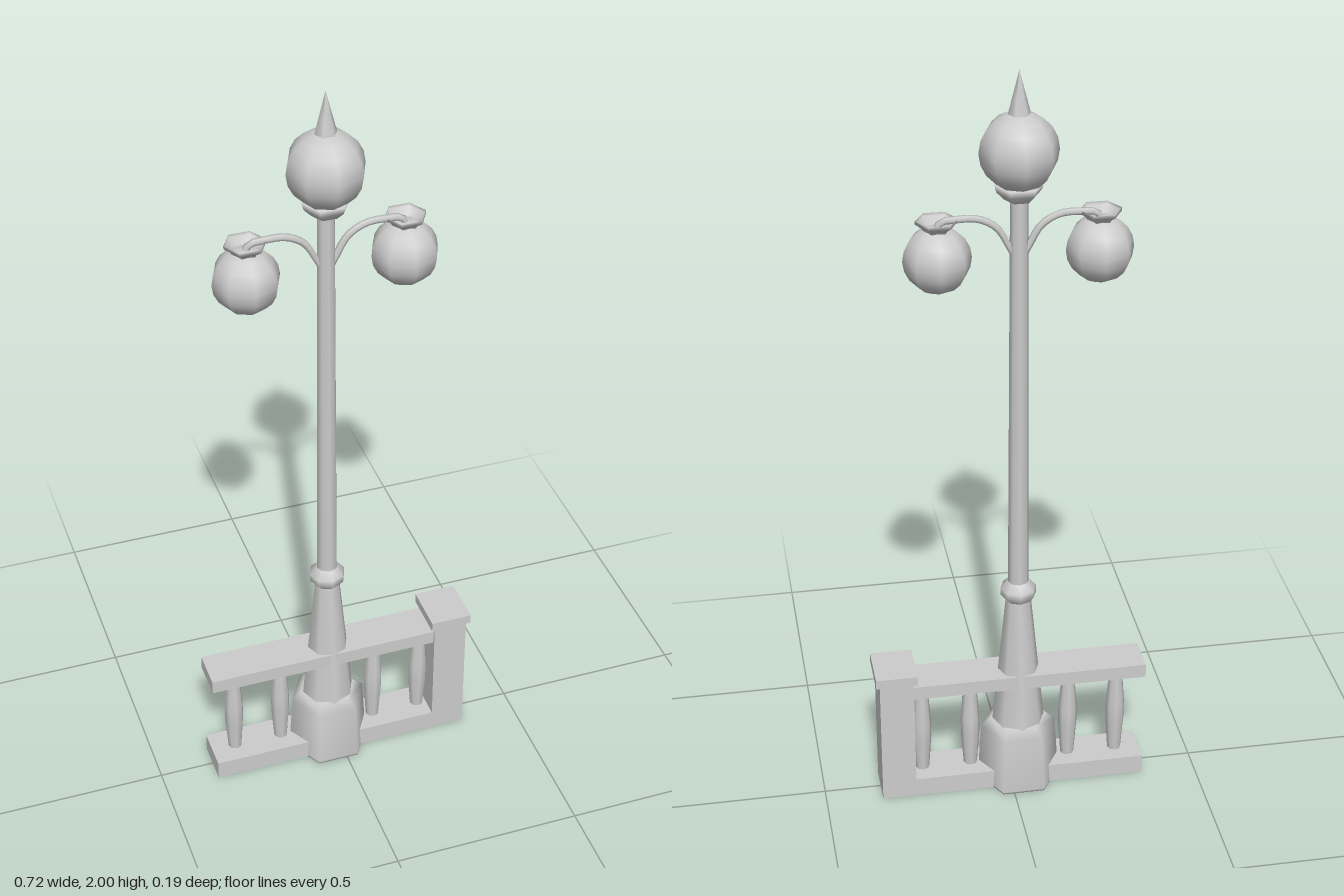
import * as THREE from 'three';

const AXIS = -0.025; // x of the lamp column

export function createModel() {
  const model = new THREE.Group();
  model.name = 'lampPostWithRailing';
  const stone = new THREE.MeshStandardMaterial({ color: 0xcccccc, side: THREE.DoubleSide });
  stone.name = 'pale grey';

  const add = (name, geometry, x = 0, y = 0, z = 0) => {
    const mesh = new THREE.Mesh(geometry, stone);
    mesh.name = name;
    mesh.position.set(x, y, z);
    model.add(mesh);
    return mesh;
  };
  // Turned part from [radius, height] pairs, bottom to top, with corners on the x axis
  const turned = (name, profile, sides, x = AXIS) => add(name,
    new THREE.LatheGeometry(profile.map(([r, y]) => new THREE.Vector2(r, y)), sides, Math.PI / 2), x);
  // Box given by its limits in x and y and its depth
  const block = (name, x0, x1, y0, y1, depth) => add(name,
    new THREE.BoxGeometry(x1 - x0, y1 - y0, depth), (x0 + x1) / 2, (y0 + y1) / 2);

  // Column
  turned('pedestal', [[0, 0], [0.11, 0], [0.11, 0.005], [0.1, 0.165], [0.075, 0.187], [0, 0.187]], 6);
  turned('lowerShaft', [[0.07, 0.18], [0.033, 0.565]], 8);
  turned('collar', [[0.03, 0.555], [0.047, 0.575], [0.047, 0.595], [0.028, 0.615]], 8);
  turned('pole', [[0.027, 0.6], [0.022, 1.69]], 8);

  // Top lamp
  turned('topLampCup', [[0.024, 1.675], [0.036, 1.68], [0.055, 1.7], [0.06, 1.718], [0, 1.718]], 6);
  add('topGlobe', new THREE.SphereGeometry(0.097, 8, 10), AXIS, 1.8);
  turned('spire', [[0.032, 1.875], [0.018, 1.93], [0, 2]], 6);

  // Side lamps on curved arms
  for (const s of [-1, 1]) {
    const lampX = AXIS + s * 0.198;
    const path = new THREE.CatmullRomCurve3([
      [0, 1.51], [0.025, 1.56], [0.055, 1.61], [0.1, 1.635], [0.155, 1.637], [0.19, 1.632], [0.198, 1.612],
    ].map(([x, y]) => new THREE.Vector3(AXIS + s * x, y, 0)));
    add('lampArm', new THREE.TubeGeometry(path, 16, 0.009, 6, false));
    turned('sideLampCup', [[0.031, 1.61], [0.036, 1.62], [0.052, 1.632], [0.052, 1.64]], 6, lampX);
    add('sideGlobe', new THREE.SphereGeometry(0.084, 8, 10), lampX, 1.538);
  }

  // Railing
  block('bottomRail', -0.355, 0.27, 0, 0.052, 0.116);
  block('topRail', -0.36, 0.27, 0.307, 0.345, 0.105);
  block('endPost', 0.26, 0.35, 0, 0.362, 0.116);
  block('endPostCap', 0.25, 0.36, 0.36, 0.386, 0.13);
  for (const x of [-0.29, -0.16, 0.105, 0.235]) {
    turned('baluster', [[0.018, 0.05], [0.025, 0.15], [0.025, 0.2], [0.017, 0.308]], 8, x);
  }
  return model;
}
